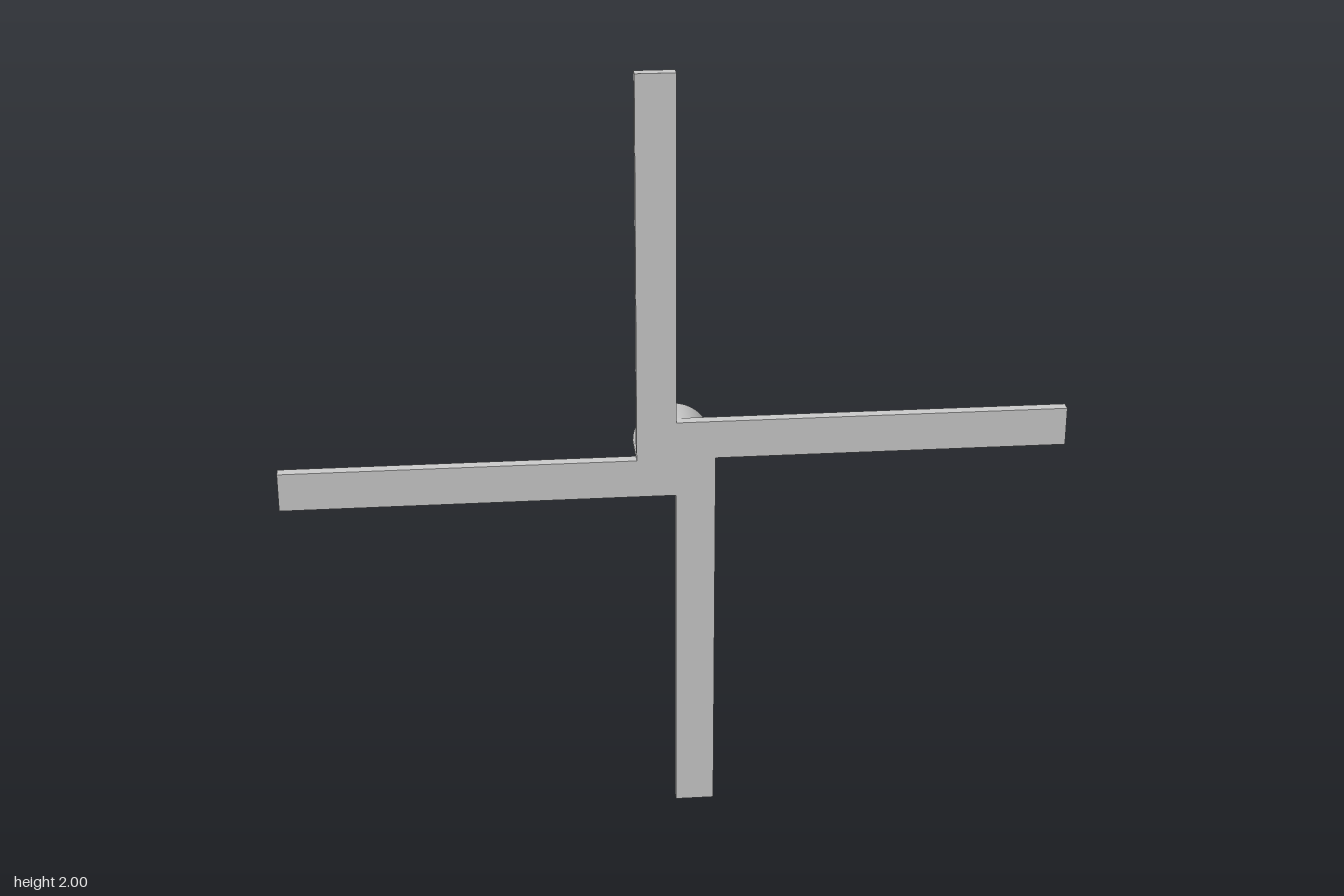
import * as THREE from 'three';

export function createModel() {
  const group = new THREE.Group();
  group.name = 'rotor';
  const material = new THREE.MeshStandardMaterial({ color: 0xcccccc });
  const centreY = 1, bladeWidth = 0.1, bladeLength = 1, bladeDepth = 0.03;
  const hubRadius = 0.1, hubDepth = 0.1;
  const jointZ = (hubDepth - bladeDepth) / 2; // plane where blades meet the hub

  // four flat blades, each offset to one side of its radius
  const bladeGeometry = new THREE.BoxGeometry(bladeWidth, bladeLength, bladeDepth);
  bladeGeometry.translate(-bladeWidth / 2, bladeLength / 2, jointZ + bladeDepth / 2);
  ['bladeTop', 'bladeRight', 'bladeBottom', 'bladeLeft'].forEach((name, i) => {
    const blade = new THREE.Mesh(bladeGeometry, material);
    blade.name = name;
    blade.position.y = centreY;
    blade.rotation.z = i * Math.PI / 2;
    group.add(blade);
  });

  // round hub behind the blades
  const hubGeometry = new THREE.CylinderGeometry(hubRadius, hubRadius, hubDepth, 64);
  hubGeometry.rotateX(Math.PI / 2);
  const hub = new THREE.Mesh(hubGeometry, material);
  hub.name = 'hub';
  hub.position.set(0, centreY, jointZ - hubDepth / 2);
  group.add(hub);

  return group;
}
